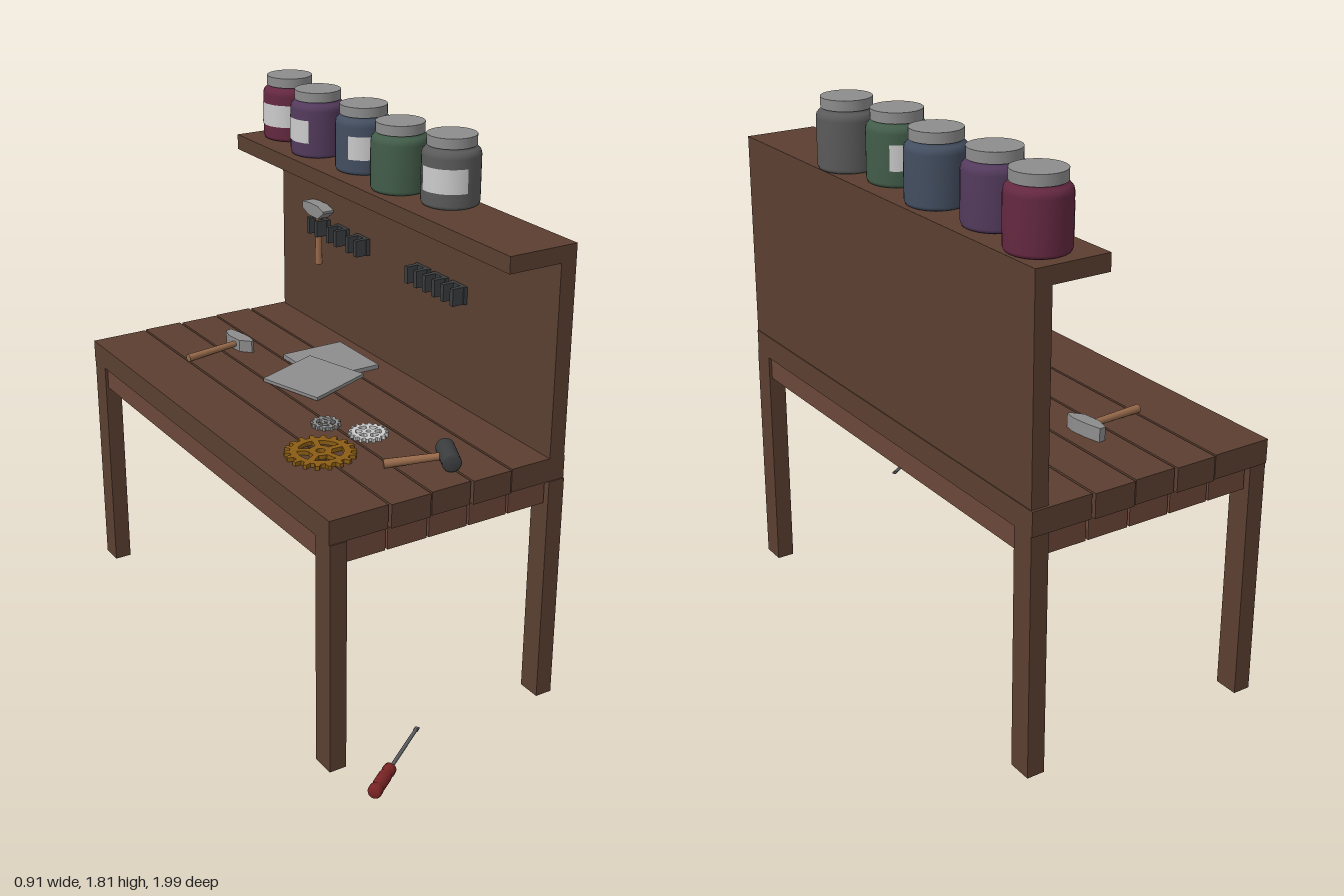
import * as THREE from 'three';

const mat = (color, side = THREE.FrontSide) => new THREE.MeshStandardMaterial({ color, side });
const WOOD = mat(0x5a3e30), RAIL = mat(0x6b4738), HANDLE = mat(0x96694a);
const STEEL = mat(0x8c8c8c), DARK = mat(0x3a3c3e), GOLD = mat(0x8a5c14), PALE = mat(0xcccccc);

function add(parent, name, geometry, material, x = 0, y = 0, z = 0) {
  const m = new THREE.Mesh(geometry, material);
  m.name = name;
  m.position.set(x, y, z);
  parent.add(m);
  return m;
}

// Box given by its limits on each axis
function slab(parent, name, material, x0, x1, y0, y1, z0, z1) {
  return add(parent, name, new THREE.BoxGeometry(x1 - x0, y1 - y0, z1 - z0), material,
    (x0 + x1) / 2, (y0 + y1) / 2, (z0 + z1) / 2);
}

function group(parent, name, x = 0, y = 0, z = 0) {
  const g = new THREE.Group();
  g.name = name;
  g.position.set(x, y, z);
  parent.add(g);
  return g;
}

const lathe = (pts, n = 32) => new THREE.LatheGeometry(pts.map(p => new THREE.Vector2(p[0], p[1])), n);

function jar(parent, x, z, color, labelAngle) {
  const g = group(parent, 'jar', x, 1.58, z);
  add(g, 'jarBody', lathe([[0, 0], [0.085, 0], [0.093, 0.004], [0.097, 0.014], [0.097, 0.165],
    [0.094, 0.178], [0.086, 0.187], [0.076, 0.19], [0.076, 0.2]]), mat(color));
  add(g, 'jarLid', new THREE.CylinderGeometry(0.082, 0.082, 0.034, 32), STEEL, 0, 0.213, 0);
  const span = 1.75;
  add(g, 'jarLabel', new THREE.CylinderGeometry(0.0985, 0.0985, 0.08, 20, 1, true,
    labelAngle * Math.PI / 180 - span / 2, span), mat(0xcccccc, THREE.DoubleSide), 0, 0.095, 0);
}

// Toothed wheel lying flat, with spoke windows and an axle hole
function gear(parent, name, material, x, z, r, teeth, spokes, h) {
  const s = new THREE.Shape();
  const at = (rad, a) => [rad * Math.cos(a), rad * Math.sin(a)];
  const step = Math.PI * 2 / teeth, root = r * 0.84;
  for (let i = 0; i < teeth; i++) {
    [[root, 0], [root, 0.42], [r, 0.54], [r, 0.86]].forEach(([rad, f], k) => {
      const p = at(rad, (i + f) * step);
      if (i + k === 0) s.moveTo(...p); else s.lineTo(...p);
    });
  }
  s.closePath();
  for (let i = 0; i < spokes; i++) {
    const a = i * Math.PI * 2 / spokes, w = Math.PI * 2 / spokes;
    const hole = new THREE.Path();
    hole.absarc(0, 0, r * 0.64, a + 0.14, a + w - 0.14, false);
    hole.absarc(0, 0, r * 0.32, a + w - 0.26, a + 0.26, true);
    hole.closePath();
    s.holes.push(hole);
  }
  const axle = new THREE.Path();
  axle.absarc(0, 0, r * 0.13, 0, Math.PI * 2, true);
  s.holes.push(axle);
  const geo = new THREE.ExtrudeGeometry(s, { depth: h, bevelEnabled: false, curveSegments: 8 });
  geo.rotateX(-Math.PI / 2);
  add(parent, name, geo, material, x, 0.88, z);
}

// Hammer along +x: handle end at the origin, head across z
function hammer(parent, name, length) {
  const g = group(parent, name);
  const handle = add(g, 'hammerHandle', new THREE.CylinderGeometry(0.011, 0.014, length, 10), HANDLE, length / 2, 0, 0);
  handle.rotation.z = -Math.PI / 2;
  const s = new THREE.Shape();
  [[-0.022, -0.03], [-0.022, 0.035], [-0.004, 0.08], [0.02, 0.08], [0.026, 0.03], [0.026, -0.03], [0.014, -0.068], [0.006, -0.068]]
    .forEach((p, i) => (i ? s.lineTo(...p) : s.moveTo(...p)));
  const head = new THREE.ExtrudeGeometry(s, { depth: 0.045, bevelEnabled: false });
  head.translate(0, 0, -0.0225).rotateX(-Math.PI / 2);
  add(g, 'hammerHead', head, STEEL, length, 0, 0);
  return g;
}

export function createModel() {
  const model = new THREE.Group();
  model.name = 'workbench';

  // Bench top planks with the short end boards beneath them
  const seams = [-0.42, -0.21, -0.06, 0.09, 0.24, 0.45], gap = 0.004;
  for (let i = 0; i < 5; i++) {
    const e = i % 2 ? 0 : 0.006;
    slab(model, 'topPlank', WOOD, seams[i] + (i ? gap : 0), seams[i + 1] - (i < 4 ? gap : 0), 0.8, 0.88, -1 + e, 0.69 - e);
    const a = Math.max(seams[i], -0.36), b = Math.min(seams[i + 1], 0.39);
    for (const z of [-0.97, 0.63]) slab(model, 'endBoard', RAIL, a + gap, b - gap, 0.72, 0.8, z, z + 0.04);
  }

  // Legs and long rails
  for (const x of [-0.42, 0.39]) {
    for (const z of [-0.99, 0.605]) slab(model, 'leg', WOOD, x, x + 0.06, 0, 0.8, z, z + 0.083);
    slab(model, 'sideRail', RAIL, x + 0.01, x + 0.05, 0.72, 0.8, -0.907, 0.605);
  }

  // Back panel and shelf
  slab(model, 'backPanel', WOOD, 0.39, 0.447, 0.88, 1.53, -0.985, 0.685);
  slab(model, 'shelf', WOOD, 0.197, 0.447, 1.525, 1.58, -0.985, 0.685);

  // Jars on the shelf
  [[0.35, -0.86, 0x642840, -70], [0.32, -0.61, 0x533a5c, -100], [0.34, -0.34, 0x434e60, -14],
    [0.31, -0.07, 0x425c49, -175], [0.36, 0.15, 0x5a5a5a, -52]].forEach(j => jar(model, ...j));

  // Tool clips on the back panel: plate with two prongs each
  for (const [start, step] of [[-0.68, 0.135], [-0.03, 0.105]]) {
    for (let i = 0; i < 3; i++) {
      const clip = group(model, 'toolClip', 0.39, 1.28, start + i * step);
      slab(clip, 'clipPlate', DARK, -0.014, 0, -0.03, 0.03, -0.04, 0.04);
      for (const s of [-1, 1]) {
        slab(clip, 'clipProng', DARK, -0.055, -0.014, -0.03, 0.03, s * 0.027 - 0.009, s * 0.027 + 0.009);
      }
    }
  }

  // Hammer hanging in the first clip
  const hung = hammer(model, 'hangingHammer', 0.205);
  hung.position.set(0.364, 1.135, -0.68);
  hung.rotation.z = Math.PI / 2;

  // Hammer lying on the bench
  const lying = hammer(model, 'benchHammer', 0.225);
  lying.position.set(-0.215, 0.895, -0.625);
  lying.rotation.set(0, 0.12, 0.03);

  // Mallet
  const mallet = group(model, 'mallet', -0.09, 0.893, 0.465);
  mallet.rotation.set(0, -0.43, 0.09, 'YXZ');
  add(mallet, 'malletHandle', new THREE.CylinderGeometry(0.012, 0.015, 0.19, 12), HANDLE, 0.095, 0, 0).rotation.z = -Math.PI / 2;
  add(mallet, 'malletHead', lathe([[0, -0.068], [0.025, -0.068], [0.031, -0.06], [0.031, 0.06], [0.025, 0.068], [0, 0.068]], 24),
    DARK, 0.205, 0, 0).rotation.x = Math.PI / 2;

  // Gears
  gear(model, 'largeGear', GOLD, -0.208, 0.283, 0.116, 18, 5, 0.014);
  gear(model, 'smallGear', STEEL, -0.077, 0.1, 0.05, 12, 4, 0.012);
  gear(model, 'paleGear', PALE, 0.002, 0.235, 0.066, 18, 6, 0.012);

  // Metal plates, the second leaning on the first
  slab(model, 'plate', STEEL, 0.095, 0.335, 0.88, 0.895, -0.48, -0.22);
  const leaning = add(model, 'leaningPlate', new THREE.BoxGeometry(0.24, 0.012, 0.255), STEEL, 0.075, 0.896, -0.235);
  leaning.rotation.set(0, 0.29, 0.06, 'YXZ');

  // Screwdriver beside the bench, along its own +x
  const driver = group(model, 'screwdriver', -0.448, 0.12, 0.98);
  driver.rotation.y = Math.atan2(0.21, 0.3);
  const grip = lathe([[0, 0], [0.017, 0], [0.022, 0.008], [0.022, 0.028], [0.018, 0.036], [0.021, 0.044],
    [0.021, 0.095], [0.016, 0.106], [0.021, 0.116], [0.02, 0.135], [0.012, 0.14], [0, 0.14]], 12);
  add(driver, 'screwdriverGrip', grip, mat(0x7a2424)).rotation.z = -Math.PI / 2;
  add(driver, 'screwdriverShaft', new THREE.CylinderGeometry(0.006, 0.006, 0.215, 10), mat(0x5c5e62), 0.245, 0, 0).rotation.z = -Math.PI / 2;
  add(driver, 'screwdriverTip', new THREE.BoxGeometry(0.02, 0.005, 0.014), mat(0x5c5e62), 0.354, 0, 0);

  return model;
}
